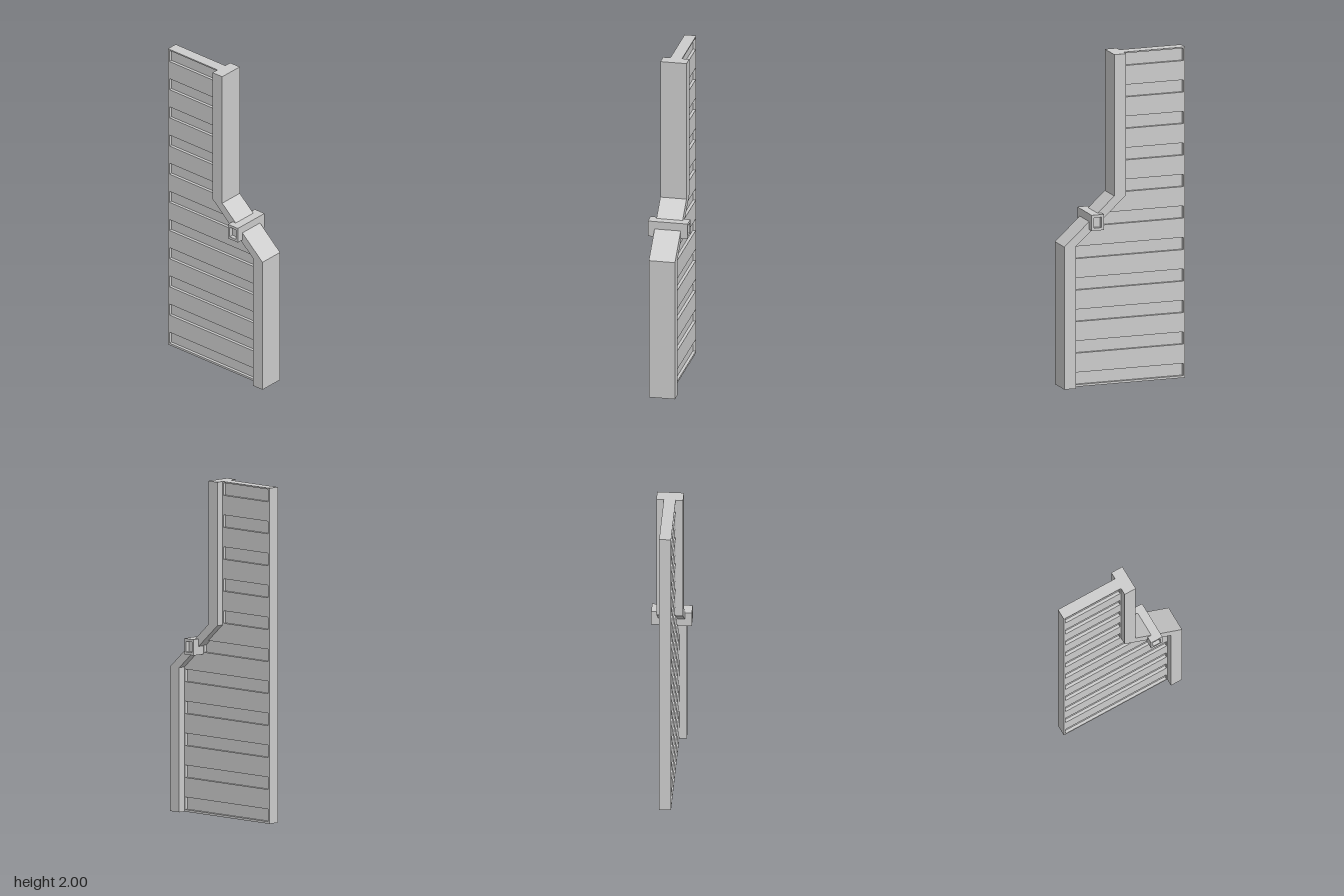
import * as THREE from 'three';

const material = new THREE.MeshStandardMaterial({ color: 0xcccccc, flatShading: true });

// Outline drawn as [z, y] points
const outline = (points) => new THREE.Shape(points.map(([z, y]) => new THREE.Vector2(z, y)));

const rect = (z0, z1, y0, y1) => [[z0, y0], [z1, y0], [z1, y1], [z0, y1]];

// Extrudes a [z, y] shape across x, centred on x = centre
function slab(name, shape, width, centre = 0) {
  const geometry = new THREE.ExtrudeGeometry(shape, { depth: width, bevelEnabled: false });
  geometry.translate(0, 0, -width / 2);
  geometry.rotateY(-Math.PI / 2);
  geometry.translate(centre, 0, 0);
  const mesh = new THREE.Mesh(geometry, material);
  mesh.name = name;
  return mesh;
}

// Front edge line of the wall, stepping forward below the middle
const edge = (offset) => [
  [0.315 + offset, 0], [0.315 + offset, 0.862], [offset, 1.145], [offset, 2],
];

export function createModel() {
  const group = new THREE.Group();
  group.name = 'steppedWallPanel';

  const back = -0.39, halfWidth = 0.035, grooveDepth = 0.018;
  // Panel runs on into the front trim
  const panelOutline = () => outline([[back, 0], ...edge(0.05), [back, 2]]);

  // Solid core forms the floor of the grooves
  group.add(slab('panelCore', panelOutline(), 2 * (halfWidth - grooveDepth)));

  // Skin on each side, cut by eleven horizontal grooves
  for (const side of [1, -1]) {
    const skin = panelOutline();
    for (let i = 0; i < 11; i++) {
      const y = 0.013 + i * 0.1905;
      const front = i < 5 ? 0.307 : i === 5 ? 0.15 : -0.008;
      skin.holes.push(outline(rect(-0.378, front, y, y + 0.074)));
    }
    group.add(slab(side > 0 ? 'leftGroovedSkin' : 'rightGroovedSkin',
      skin, grooveDepth, side * (halfWidth - grooveDepth / 2)));
  }

  // Wide trim along the stepped front edge
  group.add(slab('frontTrim', outline([...edge(0.073), ...edge(-0.002).reverse()]), 0.158));

  // Cross bar with recessed ends
  const bar = new THREE.Group();
  bar.name = 'crossBar';
  const sleeve = outline(rect(0.154, 0.231, 0.955, 1.05));
  sleeve.holes.push(outline(rect(0.168, 0.217, 0.971, 1.034)));
  bar.add(slab('barSleeve', sleeve, 0.24));
  bar.add(slab('barCore', outline(rect(0.166, 0.219, 0.969, 1.036)), 0.19));
  group.add(bar);

  return group;
}
